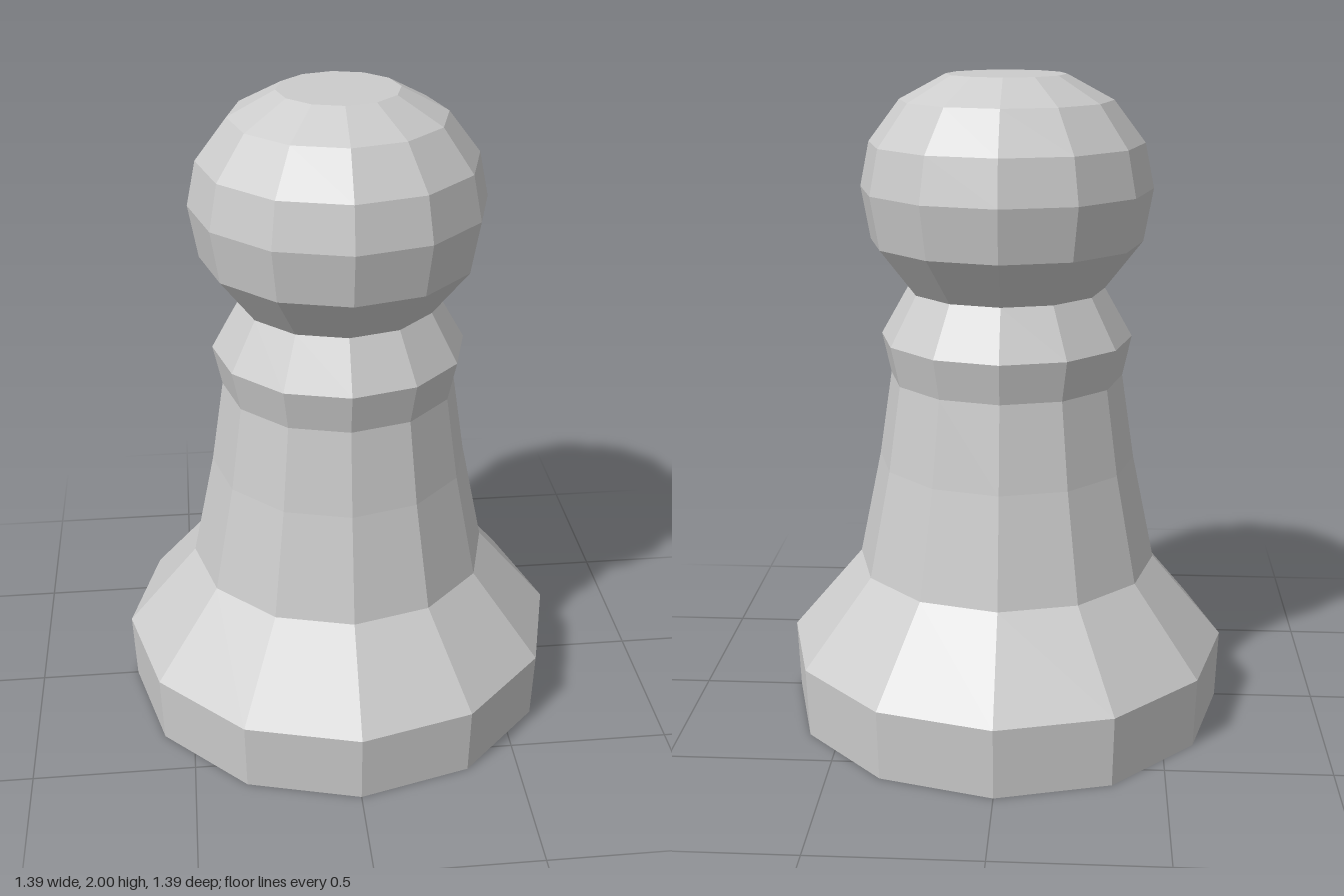
import * as THREE from 'three';

const SIDES = 12;

// Profiles as [radius, height], bottom to top; neighbouring parts share a ring
const PARTS = {
  base: [[0, 0], [0.685, 0], [0.693, 0.22], [0.47, 0.485]],
  body: [[0.47, 0.485], [0.4, 0.82], [0.36, 1.085]],
  collar: [[0.36, 1.085], [0.387, 1.21], [0.302, 1.36]],
  head: [[0.302, 1.36], [0.415, 1.505], [0.443, 1.665], [0.415, 1.8], [0.32, 1.925], [0.18, 2], [0, 2]],
};

export function createModel() {
  const pawn = new THREE.Group();
  pawn.name = 'pawn';
  const material = new THREE.MeshStandardMaterial({ color: 0xcccccc, flatShading: true });

  // Each part is a faceted turned section
  for (const [name, profile] of Object.entries(PARTS)) {
    const points = profile.map(([r, y]) => new THREE.Vector2(r, y));
    const mesh = new THREE.Mesh(new THREE.LatheGeometry(points, SIDES), material);
    mesh.name = name;
    pawn.add(mesh);
  }
  return pawn;
}
